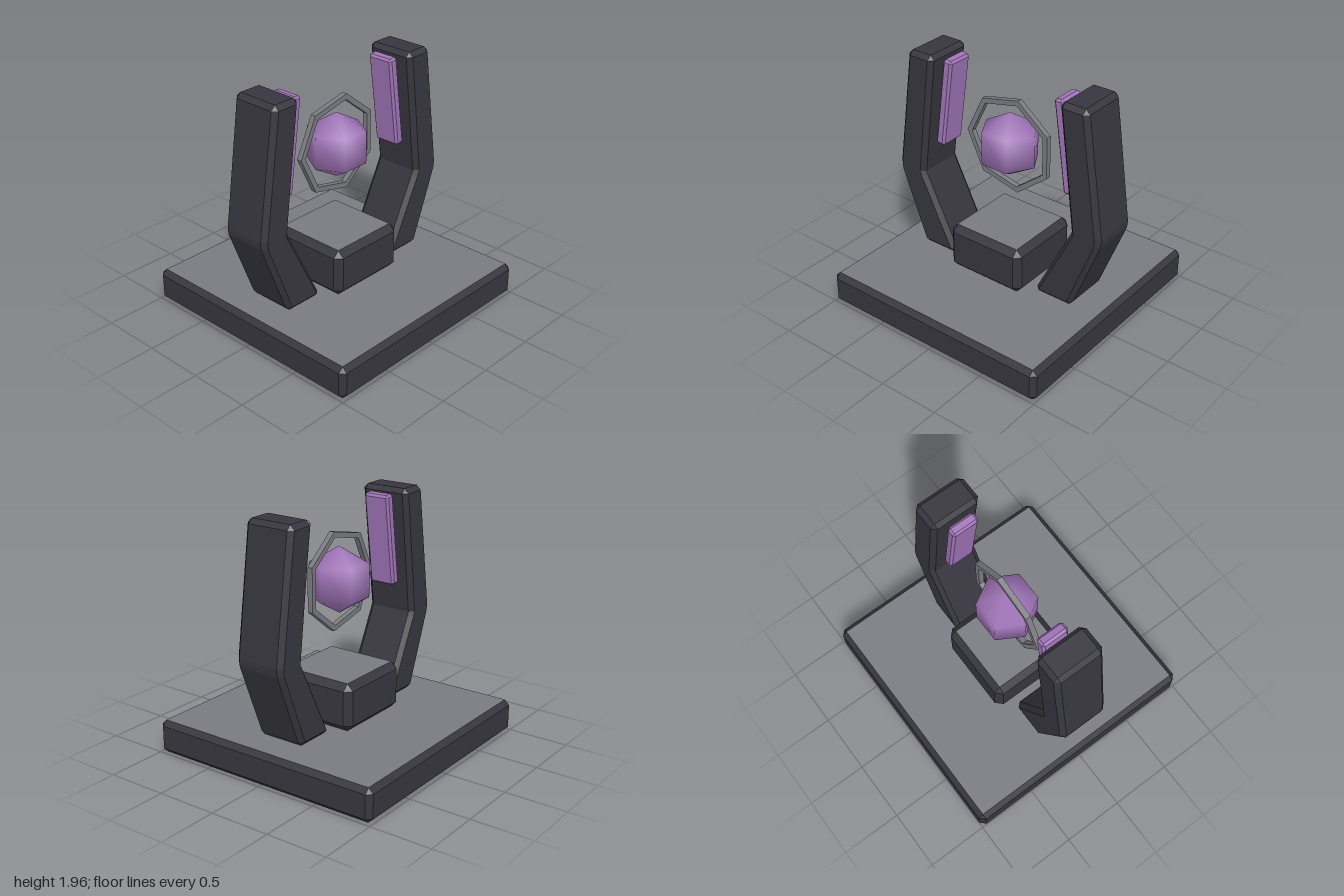
import * as THREE from 'three';

const dark = new THREE.MeshStandardMaterial({ color: 0x37363e });
dark.name = 'darkStone';
const grey = new THREE.MeshStandardMaterial({ color: 0x7a7b81 });
grey.name = 'greyStone';
const purple = new THREE.MeshStandardMaterial({ color: 0xa074b8 });
purple.name = 'purpleCrystal';

// Stack of chamfered rectangles [y, xMin, xMax, halfDepth, chamfer], lowest first.
// Group 0 holds the sides, group 1 the end caps.
function loft(sections) {
  const loops = sections.map(([y, x0, x1, h, c]) => [
    [x1 - c, h], [x1, h - c], [x1, c - h], [x1 - c, -h],
    [x0 + c, -h], [x0, c - h], [x0, h - c], [x0 + c, h],
  ].map(([x, z]) => new THREE.Vector3(x, y, z)));
  const points = [];
  const tri = (a, b, c) => {
    const area = b.clone().sub(a).cross(c.clone().sub(a)).length();
    if (area > 1e-9) points.push(a, b, c);
  };
  for (let s = 0; s < loops.length - 1; s++) {
    const lo = loops[s], hi = loops[s + 1];
    for (let i = 0; i < 8; i++) {
      const j = (i + 1) % 8;
      tri(lo[i], lo[j], hi[j]);
      tri(lo[i], hi[j], hi[i]);
    }
  }
  const sideCount = points.length;
  const bottom = loops[0], top = loops[loops.length - 1];
  for (let i = 1; i < 7; i++) {
    tri(top[0], top[i], top[i + 1]);
    tri(bottom[0], bottom[i + 1], bottom[i]);
  }
  const geometry = new THREE.BufferGeometry().setFromPoints(points);
  geometry.computeVertexNormals();
  geometry.addGroup(0, sideCount, 0);
  geometry.addGroup(sideCount, points.length - sideCount, 1);
  return geometry;
}

// Box with all edges chamfered, standing on y0
function chamferBox(hx, y0, y1, hz, c) {
  return loft([
    [y0, c - hx, hx - c, hz - c, 0],
    [y0 + c, -hx, hx, hz, c],
    [y1 - c, -hx, hx, hz, c],
    [y1, c - hx, hx - c, hz - c, 0],
  ]);
}

export function createModel() {
  const model = new THREE.Group();
  model.name = 'crystalShrine';
  const add = (name, geometry, material, parent = model) => {
    const mesh = new THREE.Mesh(geometry, material);
    mesh.name = name;
    parent.add(mesh);
    return mesh;
  };

  // Slab and pedestal, with lighter caps
  add('base', chamferBox(1, 0, 0.27, 1, 0.04), [dark, grey]);
  add('pedestal', chamferBox(0.345, 0.27, 0.655, 0.345, 0.052), [dark, grey]);

  // Bent arms, each with a tilted crystal panel on its inner side
  const armSections = [
    [0.27, 0.435, 0.706, 0.172, 0],
    [0.308, 0.406, 0.743, 0.21, 0.037],
    [0.893, 0.697, 0.968, 0.21, 0.037],
    [0.93, 0.713, 0.972, 0.21, 0.037],
    [0.957, 0.709, 0.973, 0.21, 0.037],
    [1.927, 0.588, 0.834, 0.21, 0.037],
    [1.964, 0.62, 0.797, 0.173, 0],
  ];
  for (const side of [1, -1]) {
    const label = side > 0 ? 'left' : 'right';
    const sections = armSections.map(([y, a, b, h, c]) =>
      side > 0 ? [y, a, b, h, c] : [y, -b, -a, h, c]);
    add(label + 'Arm', loft(sections), [dark, dark]);
    const panel = add(label + 'Panel',
      chamferBox(0.042, -0.378, 0.378, 0.112, 0.018), [purple, purple]);
    panel.position.set(side * 0.567, 1.549, 0);
    panel.rotation.z = side * 0.137;
  }

  // Floating crystal core, smooth shaded
  const core = add('core', new THREE.SphereGeometry(0.267, 6, 3), purple);
  core.position.y = 1.347;

  // Seven-sided ring around the core
  const heptagon = (r) => Array.from({ length: 7 }, (_, i) => {
    const a = Math.PI + (i * Math.PI * 2) / 7;
    return new THREE.Vector2(Math.cos(a) * r, Math.sin(a) * r);
  });
  const outline = new THREE.Shape(heptagon(0.402));
  outline.holes.push(new THREE.Path(heptagon(0.356)));
  const ringGeometry = new THREE.ExtrudeGeometry(outline, { depth: 0.044, bevelEnabled: false });
  ringGeometry.translate(0, 0, -0.022);
  const ring = add('ring', ringGeometry, grey);
  ring.position.y = 1.35;

  return model;
}
